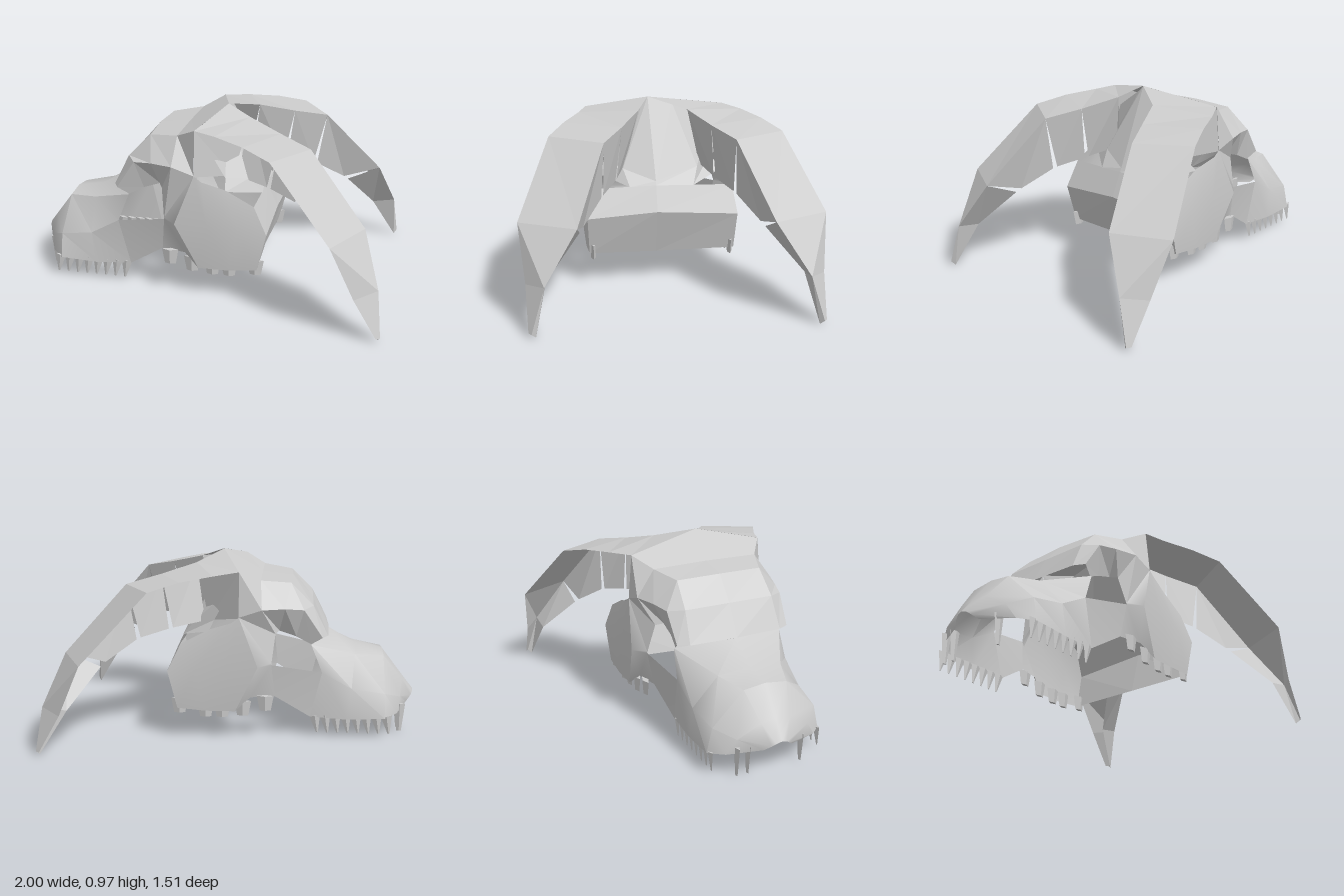
import * as THREE from 'three';
import { toCreasedNormals } from 'three/addons/utils/BufferGeometryUtils.js';

const flat = new THREE.MeshStandardMaterial({ color: 0xcccccc, flatShading: true, side: THREE.DoubleSide });
const smooth = new THREE.MeshStandardMaterial({ color: 0xcccccc, side: THREE.DoubleSide });

// Skin a grid of points: each row is one cross-section [x, y, z]
function loft(name, rows, soft = false) {
  const pos = [];
  const tri = (a, b, c) => pos.push(...a, ...b, ...c);
  for (let i = 0; i < rows.length - 1; i++) {
    for (let j = 0; j < rows[0].length - 1; j++) {
      tri(rows[i][j], rows[i + 1][j], rows[i + 1][j + 1]);
      tri(rows[i][j], rows[i + 1][j + 1], rows[i][j + 1]);
    }
  }
  let geo = new THREE.BufferGeometry();
  geo.setAttribute('position', new THREE.Float32BufferAttribute(pos, 3));
  geo.computeVertexNormals();
  if (soft) geo = toCreasedNormals(geo, 0.7);
  const mesh = new THREE.Mesh(geo, soft ? smooth : flat);
  mesh.name = name;
  return mesh;
}

const flip = (rows, s) => rows.map(r => r.map(([x, y, z]) => [x, y, z * s]));
// Half sections run from the centre line outwards; add the other half
const both = rows => rows.map(r => [...r.slice(1).reverse().map(([x, y, z]) => [x, y, -z]), ...r]);
const mix = (a, b, t) => a.map((v, i) => v + (b[i] - v) * t);

// Tapered four-sided tooth hanging from its root
function tooth(name, x, y, z, length, width, tip, lean = 0) {
  const geo = new THREE.CylinderGeometry(width / 2, tip / 2, length, 4).translate(0, -length / 2, 0);
  geo.scale(1, 1, 0.4);
  const mesh = new THREE.Mesh(geo, flat);
  mesh.name = name;
  mesh.position.set(x, y, z);
  mesh.rotation.z = lean;
  return mesh;
}

function makeHorn(s, side) {
  const horn = new THREE.Group();
  horn.name = side + 'Horn';
  // Each section: outer edge, inner edge, lower edge of the fin under the inner edge
  const root = [-0.04 + 0.008 * s, 0.915, 0.38 + 0.022 * s];
  const sec = [
    [root, [0.07, 0.98, 0.07 * s], [root[0], 0.675, root[2] + 0.02]],
    [[0.08, 0.905, 0.44], [0.2, 0.93, 0.13], [0.14, 0.625, 0.2]],
    [[0.24, 0.885, 0.52], [0.38, 0.88, 0.23], [0.33, 0.59, 0.26]],
    [[0.39, 0.845, 0.6], [0.55, 0.84, 0.33], [0.49, 0.55, 0.34]],
    [[0.71, 0.5, 0.757], [0.85, 0.5, 0.475], [0.66, 0.435, 0.45]],
    [[0.83, 0.23, 0.725], [0.94, 0.25, 0.635], [0.815, 0.23, 0.63]],
    [[0.945, 0.03, 0.715], [0.965, 0.03, 0.7], [0.95, 0.01, 0.68]],
  ];
  horn.add(loft('hornTop', flip(sec.map(r => r.slice(0, 2)), s)));
  // Hanging fin in panels, split by narrow slits; the first starts at the side of the skull
  for (let i = 0; i < 4; i++) {
    const [a, b] = [sec[i], sec[i + 1]];
    horn.add(loft('hornFin', flip([
      [i ? a[1] : root, i ? mix(a[2], b[2], 0.05) : a[2]],
      [b[1], mix(b[2], a[2], 0.07)],
    ], s)));
  }
  const end = sec.slice(4).map(r => r.slice(1));
  end[0][1] = mix(end[0][1], end[1][1], 0.06);
  horn.add(loft('hornTipFin', flip(end, s)));
  return horn;
}

function makeSkull() {
  const skull = new THREE.Group();
  skull.name = 'skull';

  // Snout
  skull.add(loft('snout', both([
    [[-1, 0.2, 0], [-0.995, 0.19, 0.03], [-0.985, 0.175, 0.05], [-0.96, 0.15, 0.08]],
    [[-0.93, 0.29, 0], [-0.93, 0.28, 0.08], [-0.91, 0.21, 0.2], [-0.89, 0.13, 0.25]],
    [[-0.82, 0.435, 0], [-0.82, 0.42, 0.12], [-0.82, 0.25, 0.29], [-0.82, 0.12, 0.32]],
    [[-0.67, 0.46, 0], [-0.66, 0.44, 0.18], [-0.64, 0.28, 0.31], [-0.62, 0.11, 0.32]],
    [[-0.51, 0.555, 0], [-0.42, 0.52, 0.31], [-0.48, 0.37, 0.32], [-0.42, 0.12, 0.31]],
  ]), true));

  // Forehead and brow, undercut above the eye sockets
  skull.add(loft('cranium', both([
    [[-0.52, 0.56, 0], [-0.51, 0.56, 0.26], [-0.48, 0.56, 0.32], [-0.42, 0.52, 0.3]],
    [[-0.43, 0.72, 0], [-0.43, 0.72, 0.25], [-0.38, 0.71, 0.33], [-0.34, 0.56, 0.29]],
    [[-0.32, 0.845, 0], [-0.31, 0.84, 0.24], [-0.28, 0.72, 0.36], [-0.25, 0.59, 0.29]],
    [[-0.15, 0.865, 0], [-0.15, 0.86, 0.3], [-0.16, 0.72, 0.4], [-0.23, 0.58, 0.33]],
    [[0.07, 0.98, 0.05], [-0.04, 0.915, 0.38], [-0.04, 0.68, 0.4], [-0.21, 0.42, 0.37]],
  ])));

  // Back of the head, from crown to neck
  skull.add(loft('occiput', both([
    [[0.07, 0.98, 0.05], [0.07, 0.95, 0.08], [0.0, 0.82, 0.3]],
    [[0.27, 0.56, 0.03], [0.21, 0.62, 0.2], [0.1, 0.64, 0.28]],
    [[0.28, 0.54, 0.03], [0.28, 0.535, 0.17], [0.12, 0.6, 0.38]],
  ])));
  skull.add(loft('neckPlate', both([
    [[0.28, 0.54, 0.03], [0.27, 0.53, 0.38]],
    [[0.34, 0.41, 0.03], [0.34, 0.385, 0.4]],
    [[0.27, 0.17, 0.03], [0.29, 0.18, 0.39]],
  ])));

  for (const [s, side] of [[1, 'right'], [-1, 'left']]) {
    // Bar below the eye socket, then the flaring cheek
    skull.add(loft(side + 'CheekBar', flip([
      [[-0.48, 0.37, 0.32], [-0.42, 0.12, 0.31]],
      [[-0.21, 0.42, 0.37], [-0.23, 0.24, 0.34]],
    ], s), true));
    skull.add(loft(side + 'Cheek', flip([
      [[-0.21, 0.43, 0.37], [-0.21, 0.42, 0.37], [-0.23, 0.24, 0.34]],
      [[-0.04, 0.68, 0.4], [-0.14, 0.42, 0.43], [-0.1, 0.24, 0.37]],
      [[0.0, 0.65, 0.4], [0.03, 0.42, 0.42], [-0.02, 0.17, 0.4]],
      [[0.12, 0.61, 0.38], [0.19, 0.4, 0.41], [0.14, 0.17, 0.4]],
      [[0.27, 0.53, 0.38], [0.34, 0.385, 0.4], [0.29, 0.18, 0.39]],
    ], s), true));

    // Sharp teeth along the snout, blunt ones at the back
    for (let i = 0; i < 8; i++) {
      skull.add(tooth('sideTooth', -0.83 + i * 0.055, 0.13, s * 0.305, 0.1, 0.06, 0.01, -0.15));
    }
    for (const [x, y] of [[-0.18, 0.25], [-0.06, 0.22], [0.05, 0.21], [0.14, 0.21], [0.28, 0.23]]) {
      skull.add(tooth('backTooth', x, y, s * 0.37, 0.08, 0.09, 0.06));
    }
  }
  for (const z of [0.16, -0.14, -0.2]) {
    skull.add(tooth('frontTooth', -0.91, 0.17, z, 0.155, 0.06, 0.025));
  }
  return skull;
}

export function createModel() {
  const model = new THREE.Group();
  model.name = 'hornedSkull';
  // The head is turned slightly, the horns a little less
  const skull = makeSkull();
  skull.position.z = 0.05;
  skull.rotation.y = 0.07;
  const horns = new THREE.Group();
  horns.name = 'horns';
  horns.add(makeHorn(1, 'right'), makeHorn(-1, 'left'));
  horns.position.z = 0.03;
  horns.rotation.y = 0.05;
  model.add(skull, horns);
  return model;
}
